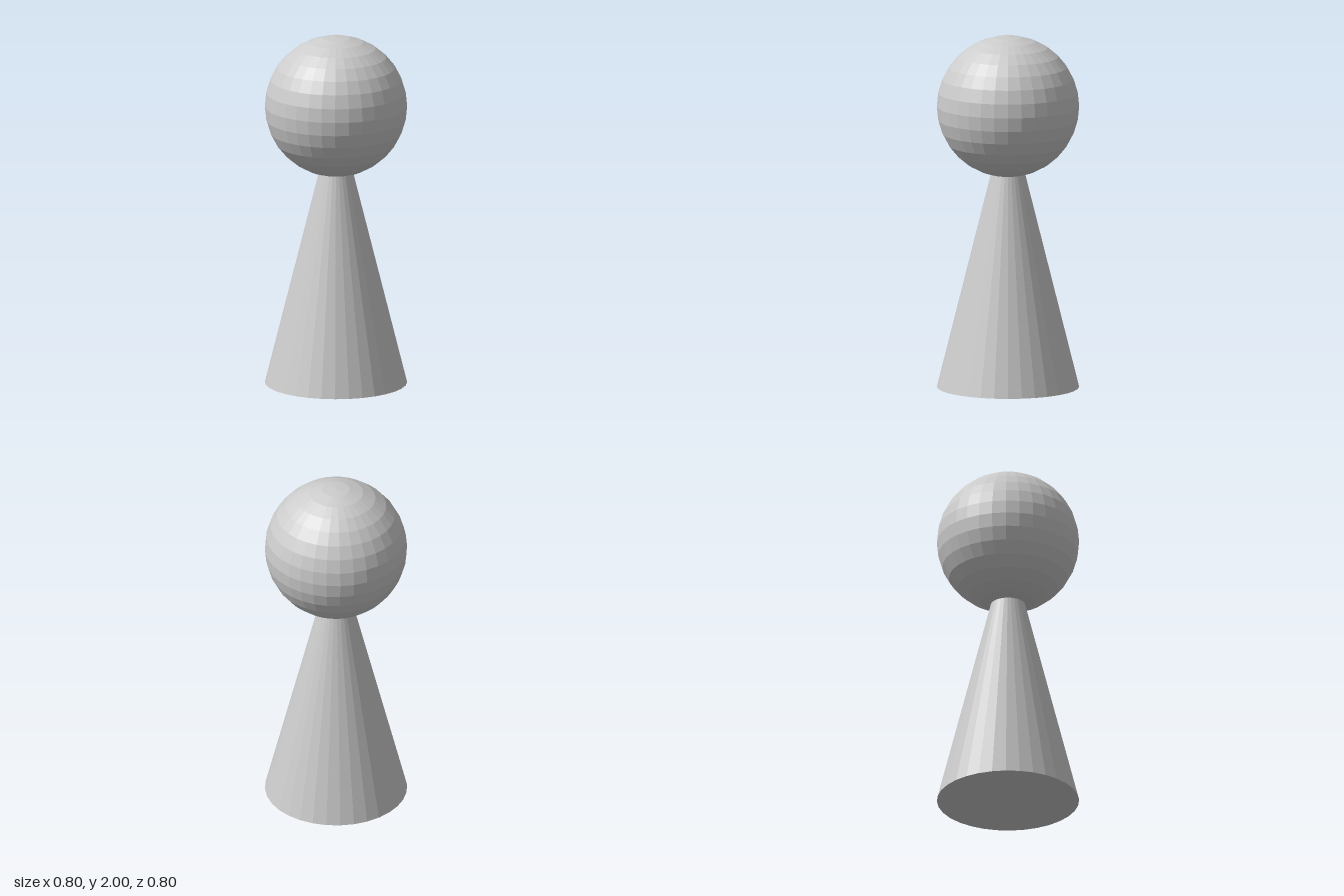
import * as THREE from 'three';

export function createModel() {
  const model = new THREE.Group();
  model.name = 'pawn';
  const material = new THREE.MeshStandardMaterial({ color: 0xcccccc, flatShading: true });

  const addPart = (name, geometry, y) => {
    const mesh = new THREE.Mesh(geometry, material);
    mesh.name = name;
    mesh.position.y = y;
    model.add(mesh);
  };

  const radius = 0.4;
  const headY = 1.6;

  // Tapered body, its tip ending at the centre of the head
  addPart('body', new THREE.ConeGeometry(radius, headY, 32), headY / 2);

  // Round faceted head
  addPart('head', new THREE.SphereGeometry(radius, 32, 16), headY);

  return model;
}
